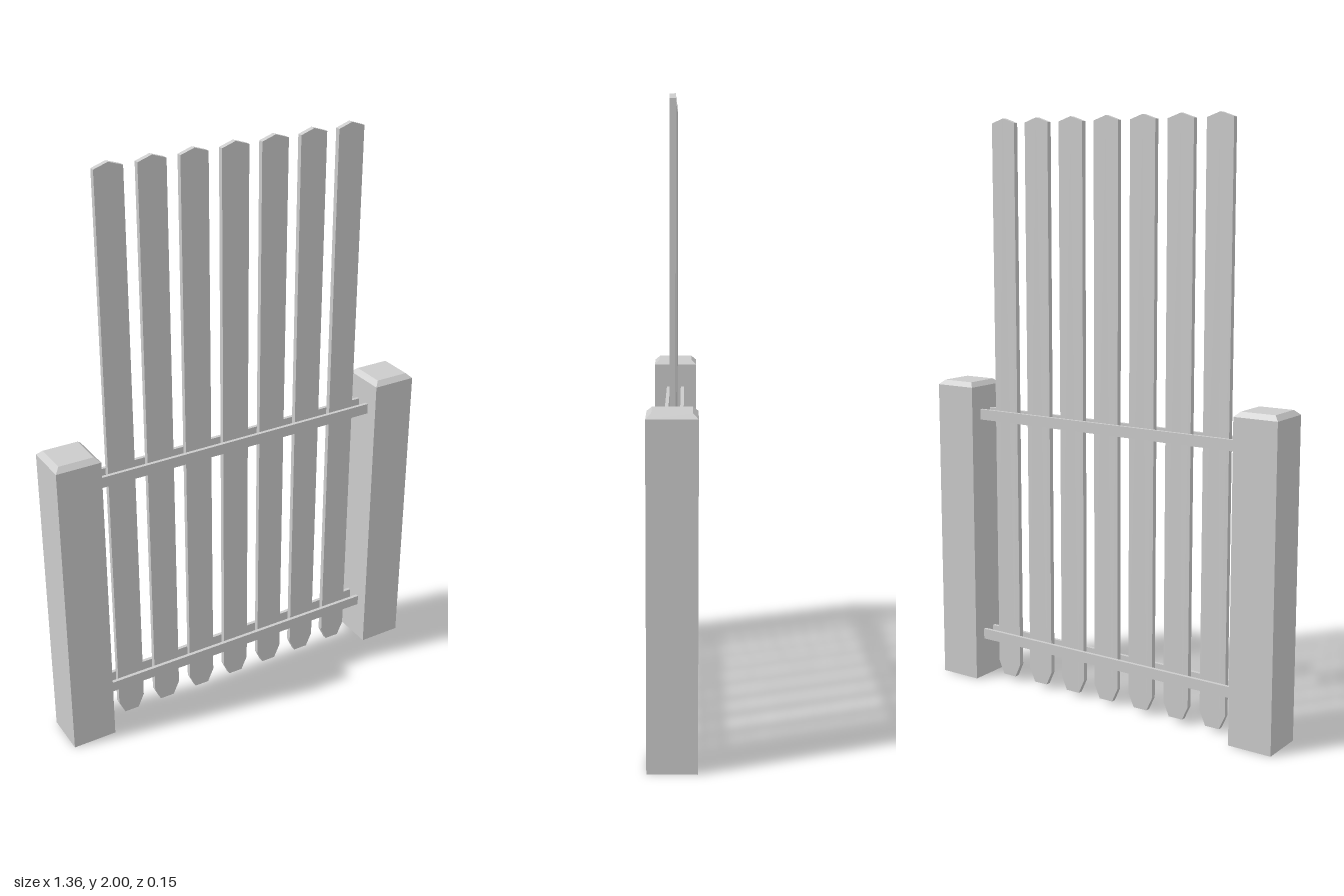
import * as THREE from 'three';

const material = new THREE.MeshStandardMaterial({ color: 0xcccccc, flatShading: true });

function addMesh(parent, name, geometry, x = 0, y = 0, z = 0) {
  const mesh = new THREE.Mesh(geometry, material);
  mesh.name = name;
  mesh.position.set(x, y, z);
  parent.add(mesh);
  return mesh;
}

// Square frustum standing on y = 0 with flat sides
function squareFrustum(bottom, top, height) {
  const g = new THREE.CylinderGeometry(top * Math.SQRT1_2, bottom * Math.SQRT1_2, height, 4);
  g.rotateY(Math.PI / 4);
  return g.translate(0, height / 2, 0);
}

// Picket outline: tapered foot, straight sides, shallow peak
function picketGeometry(width, thickness) {
  const h = width / 2;
  const outline = [
    [-0.026, 0.014], [0.026, 0.014], [h, 0.062], [h, 1.984],
    [0, 2], [-h, 1.984], [-h, 0.062],
  ].map(([x, y]) => new THREE.Vector2(x, y));
  const g = new THREE.ExtrudeGeometry(new THREE.Shape(outline), { depth: thickness, bevelEnabled: false });
  return g.translate(0, 0, -thickness / 2);
}

export function createModel() {
  const model = new THREE.Group();
  model.name = 'picketGate';

  // Square posts with chamfered tops
  const size = 0.154, shaft = 1.074;
  for (const [side, name] of [[1, 'leftPost'], [-1, 'rightPost']]) {
    const post = new THREE.Group();
    post.name = name;
    post.position.x = side * 0.603;
    addMesh(post, 'postShaft', new THREE.BoxGeometry(size, shaft, size), 0, shaft / 2, 0);
    addMesh(post, 'postCap', squareFrustum(size, size - 0.034, 0.016), 0, shaft, 0);
    model.add(post);
  }

  // Pickets
  const picket = picketGeometry(0.096, 0.018);
  for (let i = -3; i <= 3; i++) addMesh(model, 'picket', picket, i * 0.142, 0, 0);

  // Paired rails in front of and behind the pickets
  const rail = new THREE.BoxGeometry(1.056, 0.037, 0.012);
  for (const [y, level] of [[0.159, 'lower'], [0.973, 'upper']]) {
    addMesh(model, level + 'FrontRail', rail, 0, y, 0.026);
    addMesh(model, level + 'BackRail', rail, 0, y, -0.026);
  }

  return model;
}
